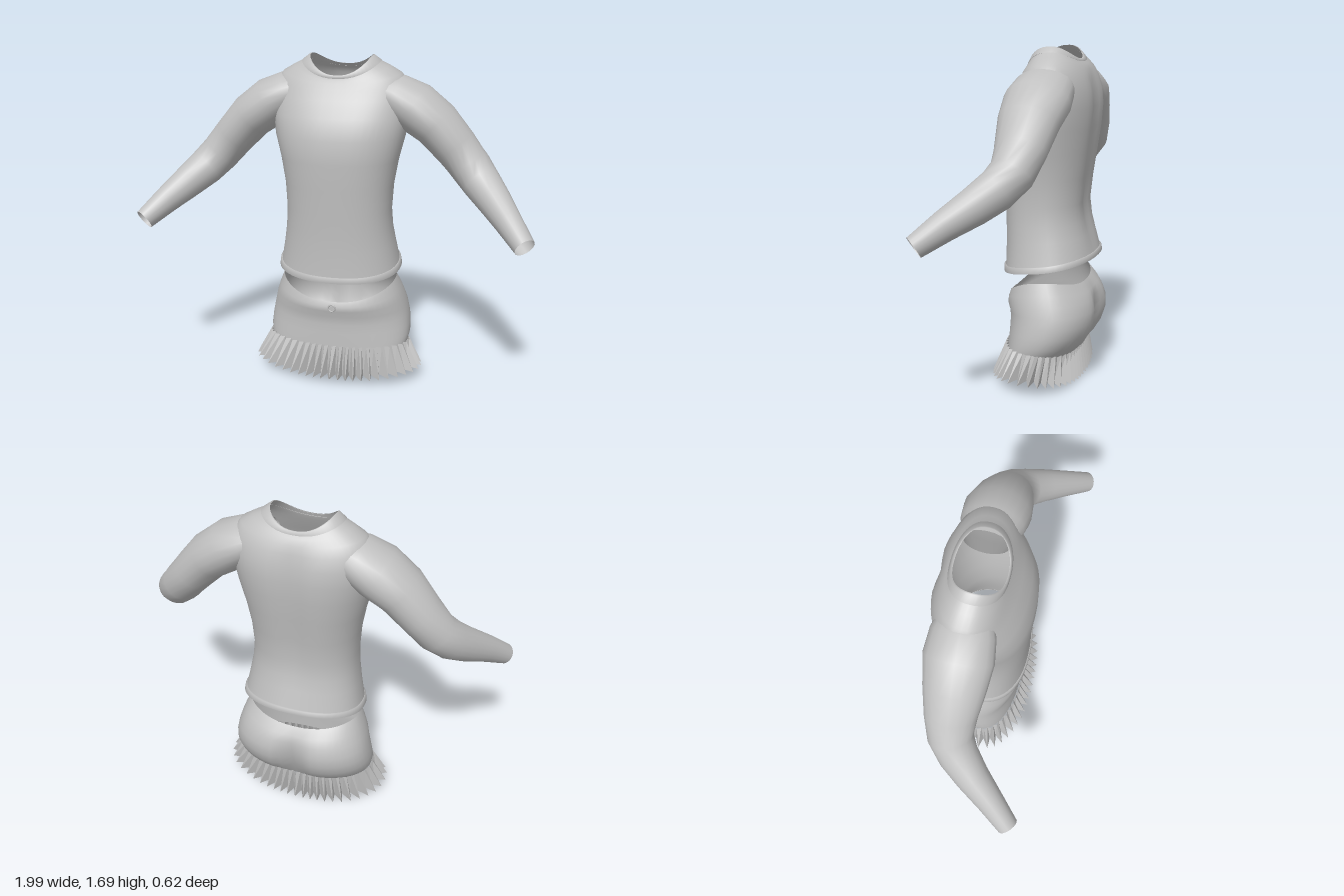
import * as THREE from 'three';

const fabric = new THREE.MeshStandardMaterial({ color: 0xc0c0c0, side: THREE.DoubleSide });
fabric.name = 'grey fabric';

// Skin a list of closed rings (bottom to top, running from +x towards +z)
function loft(rings, flat = false) {
  const n = rings[0].length, pos = [], index = [];
  rings.forEach(r => r.forEach(p => pos.push(p.x, p.y, p.z)));
  for (let r = 0; r < rings.length - 1; r++) {
    for (let j = 0; j < n; j++) {
      const k = (j + 1) % n;
      const a = r * n + j, b = a + n, c = r * n + k, d = c + n;
      index.push(a, b, c, b, d, c);
    }
  }
  let geo = new THREE.BufferGeometry();
  geo.setAttribute('position', new THREE.Float32BufferAttribute(pos, 3));
  geo.setIndex(index);
  if (flat) geo = geo.toNonIndexed();
  geo.computeVertexNormals();
  return geo;
}

// Point on a body section: front, side and back heights, half width, front z, back z, back groove
function bodyPoint([yF, yS, yB, a, zF, zB, groove = 0], t, grow = 0, e = 2.3) {
  const c = Math.cos(t), s = Math.sin(t);
  const x = (a + grow) * Math.sign(c) * Math.abs(c) ** (2 / e);
  let z = (zF + zB) / 2 + ((zF - zB) / 2 + grow) * Math.sign(s) * Math.abs(s) ** (2 / e);
  if (s < 0) z += groove * Math.exp(-((x / 0.07) ** 2));
  return new THREE.Vector3(x, yS + (yF - yB) / 2 * s + ((yF + yB) / 2 - yS) * s * s, z);
}

function bodyRing(row, grow = 0, n = 48) {
  return Array.from({ length: n }, (_, j) => bodyPoint(row, j / n * Math.PI * 2, grow));
}

function add(group, name, geo) {
  const mesh = new THREE.Mesh(geo, fabric);
  mesh.name = name;
  group.add(mesh);
  return mesh;
}

const torsoRows = [
  [0.565, 0.605, 0.645, 0.318, 0.168, -0.297],
  [0.595, 0.635, 0.67, 0.31, 0.165, -0.29],
  [0.72, 0.74, 0.76, 0.29, 0.162, -0.267, 0.01],
  [0.82, 0.82, 0.83, 0.277, 0.164, -0.25, 0.015],
  [0.92, 0.92, 0.92, 0.27, 0.168, -0.24, 0.018],
  [1.05, 1.05, 1.05, 0.278, 0.174, -0.255, 0.022],
  [1.18, 1.18, 1.18, 0.3, 0.181, -0.274, 0.022],
  [1.30, 1.30, 1.30, 0.33, 0.179, -0.289, 0.022],
  [1.40, 1.40, 1.40, 0.345, 0.144, -0.295, 0.022],
  [1.48, 1.49, 1.48, 0.35, 0.1, -0.287, 0.018],
  [1.53, 1.56, 1.54, 0.335, 0.074, -0.266, 0.01],
  [1.56, 1.605, 1.58, 0.3, 0.06, -0.245],
  [1.575, 1.64, 1.605, 0.24, 0.053, -0.226],
  [1.585, 1.662, 1.617, 0.195, 0.05, -0.212],
  [1.60, 1.69, 1.63, 0.158, 0.045, -0.2],
];

const skirtRows = [
  [0.19, 0.20, 0.15, 0.368, 0.135, -0.21, 0.01],
  [0.23, 0.24, 0.20, 0.377, 0.134, -0.262, 0.04],
  [0.27, 0.29, 0.26, 0.375, 0.132, -0.3, 0.055],
  [0.32, 0.34, 0.32, 0.368, 0.13, -0.32, 0.055],
  [0.365, 0.39, 0.38, 0.357, 0.133, -0.322, 0.045],
  [0.40, 0.44, 0.43, 0.343, 0.147, -0.306, 0.025],
  [0.425, 0.49, 0.47, 0.325, 0.147, -0.282, 0.01],
  [0.45, 0.55, 0.51, 0.3, 0.135, -0.24],
];

// Sleeve stations: centre x, y, z, then radius across and radius up
const sleeveRows = [
  [0.16, 1.535, -0.095, 0.11, 0.07],
  [0.27, 1.495, -0.095, 0.15, 0.107],
  [0.37, 1.44, -0.093, 0.163, 0.125],
  [0.48, 1.36, -0.088, 0.146, 0.118],
  [0.58, 1.25, -0.085, 0.124, 0.108],
  [0.66, 1.155, -0.07, 0.107, 0.102],
  [0.72, 1.09, -0.02, 0.096, 0.097],
  [0.79, 1.025, 0.06, 0.082, 0.086],
  [0.87, 0.95, 0.165, 0.066, 0.07],
  [0.953, 0.867, 0.27, 0.052, 0.053],
];

function sleeve(side, n = 20) {
  const up = new THREE.Vector3(0, 1, 0);
  const mid = sleeveRows.map(([x, y, z]) => new THREE.Vector3(side * x, y, z));
  return loft(sleeveRows.map((row, i) => {
    const d = mid[Math.min(i + 1, mid.length - 1)].clone().sub(mid[Math.max(i - 1, 0)]).normalize();
    const across = d.clone().cross(up).normalize();
    const rise = across.clone().cross(d);
    return Array.from({ length: n }, (_, j) => {
      const t = j / n * Math.PI * 2;
      return mid[i].clone()
        .addScaledVector(across, Math.cos(t) * row[3])
        .addScaledVector(rise, Math.sin(t) * row[4]);
    });
  }));
}

// Pleats fan out from a smooth seam, packed more tightly at front and back
function ruffle(pleats = 48) {
  const seam = [0.205, 0.205, 0.165, 0.37, 0.14, -0.214];
  const outer = [0.045, 0.072, 0.003, 0.45, 0.212, -0.242];
  const inner = [0.05, 0.08, 0.015, 0.393, 0.155, -0.195];
  const low = [], high = [];
  for (let j = 0; j < pleats * 2; j++) {
    const u = j / (pleats * 2) * Math.PI * 2;
    const t = u + 0.22 * Math.sin(2 * u);
    low.push(bodyPoint(j % 2 ? inner : outer, t));
    high.push(bodyPoint(seam, t, j % 2 ? -0.004 : 0.008));
  }
  return loft([low, high], true);
}

export function createModel() {
  const model = new THREE.Group();
  model.name = 'outfit';

  // Sweater
  const sweater = new THREE.Group();
  sweater.name = 'sweater';
  model.add(sweater);
  add(sweater, 'torso', loft(torsoRows.map(r => bodyRing(r))));
  add(sweater, 'leftSleeve', sleeve(1));
  add(sweater, 'rightSleeve', sleeve(-1));

  // Raised bands at hem and neckline
  const [hemLow, hemHigh] = torsoRows;
  add(sweater, 'hemBand', loft([bodyRing(hemLow), bodyRing(hemLow, 0.005),
    bodyRing(hemHigh, 0.008), bodyRing(hemHigh, -0.002)]));
  const [neckLow, neckHigh] = torsoRows.slice(-2);
  add(sweater, 'neckBand', loft([bodyRing(neckLow, -0.004), bodyRing(neckLow, 0.005),
    bodyRing(neckHigh, 0.005), bodyRing(neckHigh, -0.002)]));

  // Skirt with pleated edge
  const skirt = new THREE.Group();
  skirt.name = 'skirt';
  model.add(skirt);
  add(skirt, 'skirtBody', loft(skirtRows.map(r => bodyRing(r))));
  add(skirt, 'ruffle', ruffle());

  // Waist button
  const rim = add(skirt, 'buttonRim', new THREE.TorusGeometry(0.018, 0.004, 6, 16));
  rim.position.set(0, 0.42, 0.148);
  const button = add(skirt, 'button', new THREE.CylinderGeometry(0.012, 0.012, 0.008, 12));
  button.rotation.x = Math.PI / 2;
  button.position.set(0, 0.42, 0.147);

  return model;
}
